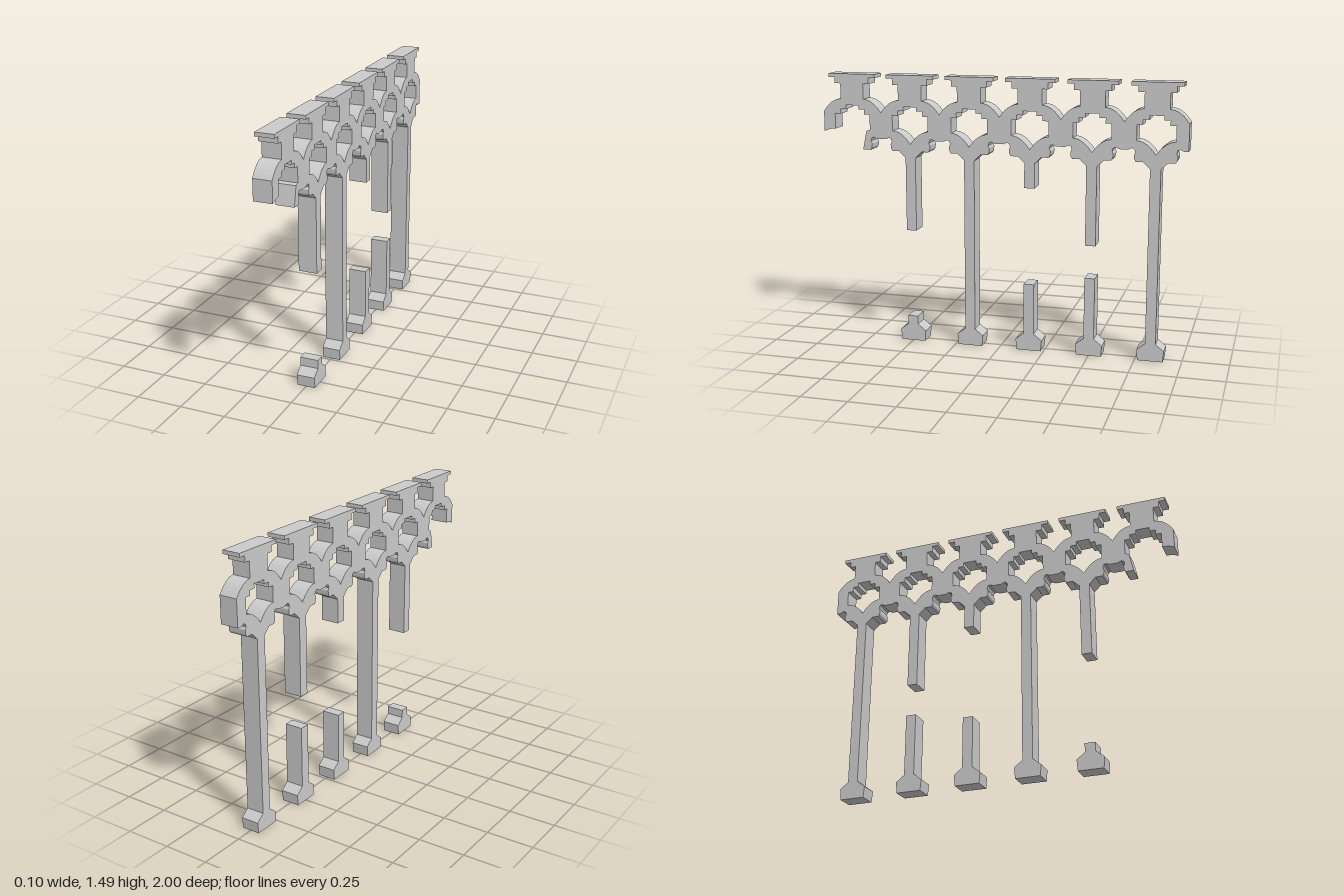
import * as THREE from 'three';

const PITCH = 1 / 3, HALF = PITCH / 2, THICK = 0.1;
const material = new THREE.MeshStandardMaterial({ color: 0xcccccc, flatShading: true });

// Bay centres run from the front (+z) to the back; profile x is -z
const centre = (i) => -1 + HALF + i * PITCH;
const mirror = (pts) => pts.map(([x, y]) => [-x, y]).reverse();
const shift = (pts, c) => pts.map(([x, y]) => [x + c, y]);

function arc(a, control, b) {
  const v = (p) => new THREE.Vector2(p[0], p[1]);
  return new THREE.QuadraticBezierCurve(v(a), v(control), v(b)).getPoints(6).map((p) => [p.x, p.y]);
}

// Capital, neck and back of the upper arch (right half, downwards)
const topHalf = [
  [0.134, 1.488], [0.134, 1.468], [0.098, 1.468], [0.098, 1.435], [0.066, 1.435],
  ...arc([0.066, 1.351], [0.12, 1.351], [HALF, 1.28]),
];

// Stepped head of the opening
const stepsHalf = [
  [0.037, 1.317], [0.037, 1.295], [0.07, 1.295], [0.07, 1.268], [0.101, 1.268], [0.101, 1.185],
];

// Opening down to the notch above the column
const openingHalf = [...stepsHalf, ...arc([0.101, 1.185], [0.046, 1.183], [0, 1.113]).slice(1)];

// Scalloped underside of the lower arch, from web centre to bracket tip
const scallop = [
  [HALF, 1.137], [0.143, 1.137], [0.124, 1.146], [0.112, 1.142],
  [0.106, 1.125], [0.113, 1.11], [0.111, 1.088], [0.103, 1.075],
];
const underHalf = [...scallop, [0.065, 1.075], [0.028, 1.04]];

// Flared foot (right half, downwards)
const footHalf = [[0.028, 0.095], [0.073, 0.06], [0.068, 0]];

// Columns by bay: broken ones have a lower end and a separate stub
const columns = [
  null,
  { end: 0.635, stub: 0.142 },
  {},
  { end: 0.906, stub: 0.375 },
  { end: 0.612, stub: 0.433 },
  {},
];

function toShape(pts) {
  return new THREE.Shape(pts.map(([x, y]) => new THREE.Vector2(x, y)));
}

function extrude(name, shape) {
  const geometry = new THREE.ExtrudeGeometry(shape, { depth: THICK, bevelEnabled: false });
  geometry.translate(0, 0, -THICK / 2);
  geometry.rotateY(Math.PI / 2);
  const mesh = new THREE.Mesh(geometry, material);
  mesh.name = name;
  return mesh;
}

function arcadeShape() {
  const outline = [];
  // Upper edge, front to back
  for (let i = 0; i < 6; i++) {
    const half = i < 5 ? topHalf.slice(0, -1) : topHalf;
    outline.push(...shift([...mirror(topHalf), ...half], centre(i)));
  }
  // Lower edge with columns, back to front
  for (let i = 5; i > 0; i--) {
    const { end } = columns[i];
    const tip = end === undefined ? footHalf : [[0.028, end]];
    const half = [...underHalf, ...tip];
    const left = mirror(half);
    outline.push(...shift([...half, ...(i > 1 ? left.slice(0, -1) : left)], centre(i)));
  }
  // Broken front bay
  const brokenArch = [
    ...scallop.slice(1), [0.059, 1.075], [0.08, 1.178],
    ...[...stepsHalf].reverse(), ...mirror(stepsHalf).reverse(),
    [-0.135, 1.182], [-HALF, 1.17],
  ];
  outline.push(...shift(brokenArch, centre(0)));

  // Openings wind against the clockwise outline so their walls face inwards
  const shape = toShape(outline);
  const ring = [...openingHalf, ...mirror(openingHalf).slice(1)].reverse();
  for (let i = 1; i < 6; i++) shape.holes.push(toShape(shift(ring, centre(i))));
  return shape;
}

export function createModel() {
  const group = new THREE.Group();
  group.name = 'ruinedArcade';
  group.add(extrude('arcade', arcadeShape()));

  // Standing stubs of the broken columns
  columns.forEach((column, i) => {
    if (!column || column.stub === undefined) return;
    const half = [[0.028, column.stub], ...footHalf];
    group.add(extrude('columnStub', toShape(shift([...half, ...mirror(half)], centre(i)))));
  });
  return group;
}
